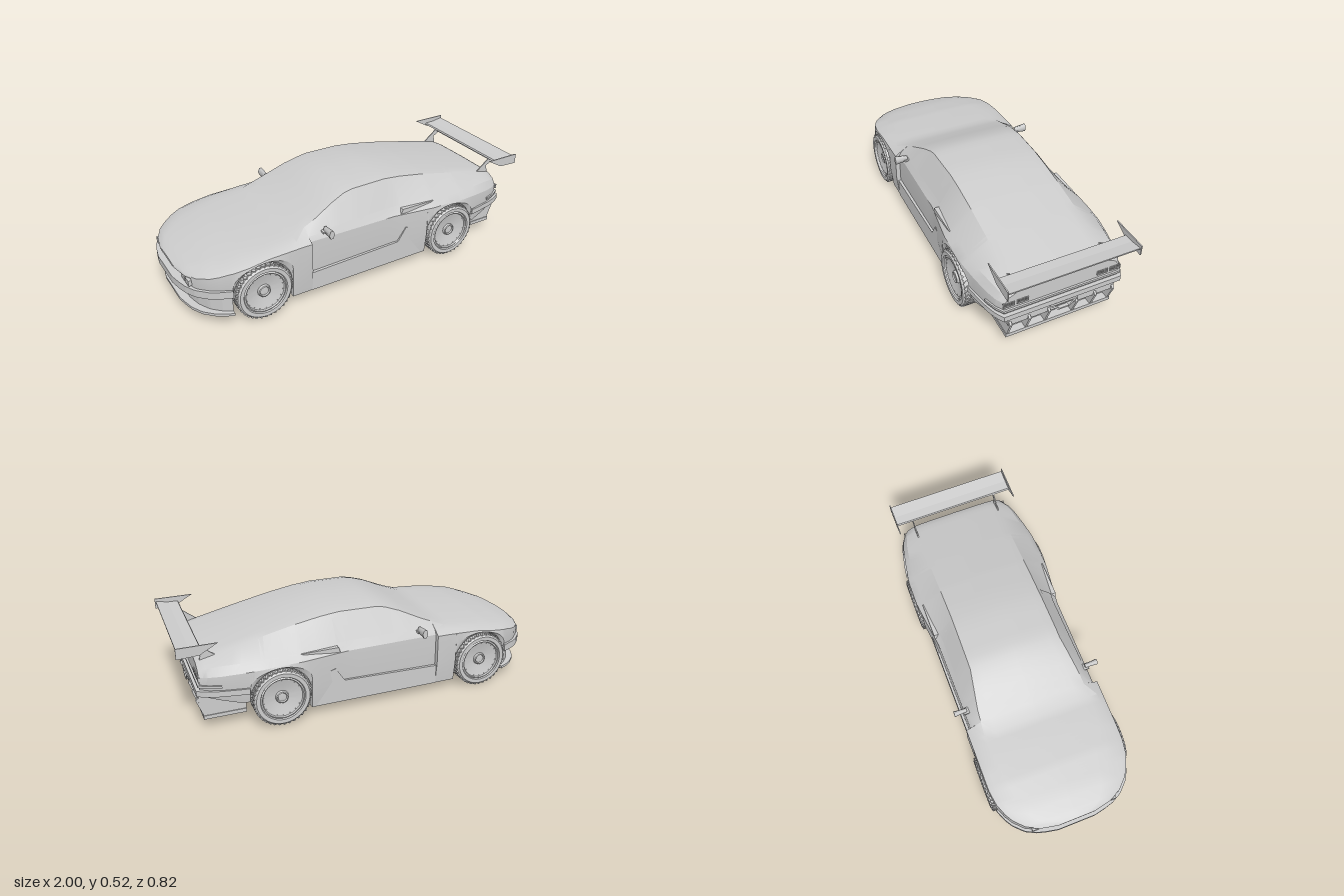
import * as THREE from 'three';
import { mergeGeometries, toCreasedNormals } from 'three/addons/utils/BufferGeometryUtils.js';

const grey = new THREE.MeshStandardMaterial({ color: 0xcccccc, side: THREE.DoubleSide });
const ARCH = { front: -0.63, rear: 0.51, y: 0.152, r: 0.158 };

// Profiles along the car's length (nose at -x), as [x, value] keys
const profile = keys => x => {
  if (x <= keys[0][0]) return keys[0][1];
  for (let i = 1; i < keys.length; i++) {
    const [x0, v0] = keys[i - 1], [x1, v1] = keys[i];
    if (x <= x1) return v0 + (v1 - v0) * (x - x0) / (x1 - x0);
  }
  return keys[keys.length - 1][1];
};
const topY = profile([[-0.985, 0.268], [-0.95, 0.285], [-0.85, 0.318], [-0.7, 0.347], [-0.55, 0.361], [-0.43, 0.37],
  [-0.3, 0.425], [-0.18, 0.483], [-0.1, 0.512], [-0.05, 0.521], [0.15, 0.523], [0.25, 0.512], [0.4, 0.485],
  [0.6, 0.44], [0.8, 0.392], [0.87, 0.375], [0.9, 0.358]]);
const halfW = profile([[-0.985, 0.1], [-0.965, 0.2], [-0.93, 0.27], [-0.88, 0.32], [-0.84, 0.345], [-0.78, 0.37],
  [-0.7, 0.382], [-0.36, 0.382], [-0.359, 0.358], [0.15, 0.36], [0.3, 0.38], [0.4, 0.392], [0.6, 0.39],
  [0.7, 0.375], [0.8, 0.355], [0.86, 0.335], [0.9, 0.31]]);
const edgeW = profile([[-0.985, 0.07], [-0.95, 0.17], [-0.88, 0.23], [-0.7, 0.28], [-0.43, 0.3], [-0.3, 0.288],
  [-0.1, 0.252], [0.2, 0.247], [0.87, 0.25], [0.9, 0.245]]);
const edgeDrop = profile([[-0.985, 0.003], [-0.8, 0.01], [-0.43, 0.008], [-0.1, 0.016], [0.2, 0.016], [0.9, 0.008]]);
const beltY = profile([[-0.985, 0.262], [-0.9, 0.285], [-0.8, 0.312], [-0.6, 0.343], [-0.43, 0.355], [-0.2, 0.363],
  [0.5, 0.362], [0.8, 0.35], [0.9, 0.33]]);
const beltFrac = profile([[-0.985, 0.9], [-0.36, 0.9], [-0.359, 0.95], [0.2, 0.92], [0.5, 0.9], [0.9, 0.92]]);
const shoulderY = profile([[-0.985, 0.259], [-0.9, 0.272], [-0.8, 0.298], [-0.6, 0.328], [-0.4, 0.335], [0.5, 0.328], [0.9, 0.3]]);

// Half section [z, y] from the floor centre to the roof centre
function halfSection(x, b) {
  const w = halfW(x), t = topY(x), d = edgeDrop(x), e = edgeW(x), s = shoulderY(x);
  return [[0, b], [w - 0.012, b], [w, b + (s - b) * 0.45], [w - 0.004, s],
    [w * beltFrac(x), beltY(x)], [e, t - d], [e * 0.8, t - d * 0.3], [0, t]];
}

function mesh(parent, name, geometry) {
  const m = new THREE.Mesh(geometry, grey);
  m.name = name;
  parent.add(m);
  return m;
}
const box = (x0, x1, y0, y1, z0, z1) =>
  new THREE.BoxGeometry(x1 - x0, y1 - y0, Math.abs(z1 - z0)).translate((x0 + x1) / 2, (y0 + y1) / 2, (z0 + z1) / 2);
// Side outline in x, y with thickness across z
const sidePlate = (pts, z, t) =>
  new THREE.ExtrudeGeometry(new THREE.Shape(pts.map(p => new THREE.Vector2(...p))), { depth: t, bevelEnabled: false })
    .translate(0, 0, z - t / 2);
// Slab that follows the body's plan outline between x0 and x1
function planSlab(x0, x1, y0, y1, shift, grow) {
  const side = [];
  for (let i = 0; i <= 16; i++) {
    const x = x0 + (x1 - x0) * i / 16;
    side.push(new THREE.Vector2(x, halfW(x - shift) + grow));
  }
  const shape = new THREE.Shape([...side, ...side.map(p => new THREE.Vector2(p.x, -p.y)).reverse()]);
  return new THREE.ExtrudeGeometry(shape, { depth: y1 - y0, bevelEnabled: false }).rotateX(-Math.PI / 2).translate(0, y0, 0);
}

// Closed shell lofted along x; its floor line rises over the wheel arches
function bodyShell() {
  const st = [[-0.985, 0.252], [-0.975, 0.252], [-0.965, 0.252], [-0.945, 0.252], [-0.945, 0.17],
    [-0.93, 0.17], [-0.88, 0.17], [-0.84, 0.17], [-0.8, 0.17]];
  const arch = cx => {
    for (let i = 0; i <= 20; i++) {
      const a = Math.PI * (1 - i / 20);
      st.push([cx + ARCH.r * Math.cos(a), ARCH.y + ARCH.r * Math.sin(a)]);
    }
  };
  arch(ARCH.front);
  for (const x of [ARCH.front + ARCH.r, -0.43, -0.36, -0.359, -0.3, -0.24, -0.18, -0.14, -0.1, -0.05, 0, 0.08, 0.15, 0.2,
    0.25, 0.3, ARCH.rear - ARCH.r]) st.push([x, 0.055]);
  arch(ARCH.rear);
  for (const x of [0.7, 0.75, 0.8, 0.83, 0.86, 0.88, 0.9]) st.push([x, 0.14 + (x - 0.67) * 0.26]);

  const pos = [], idx = [], n = 14;
  for (const [x, b] of st) {
    const half = halfSection(x, b);
    const ring = [...half, ...half.slice(1, -1).reverse().map(([z, y]) => [-z, y])];
    for (const [z, y] of ring) pos.push(x, y, z);
  }
  for (let i = 0; i < st.length - 1; i++) for (let j = 0; j < n; j++) {
    const a = i * n + j, d = i * n + (j + 1) % n;
    idx.push(a, a + n, d + n, a, d + n, d);
  }
  const last = (st.length - 1) * n;
  for (let j = 1; j < n - 1; j++) idx.push(0, j, j + 1, last, last + j + 1, last + j);
  const g = new THREE.BufferGeometry();
  g.setAttribute('position', new THREE.Float32BufferAttribute(pos, 3));
  g.setIndex(idx);
  return toCreasedNormals(g, 0.45);
}

// Side glass lying just outside the shell between belt and roof edge
function sideWindow(side) {
  const pos = [], idx = [], xs = [-0.23, -0.18, -0.14, -0.1, -0.05, 0, 0.08, 0.15, 0.2];
  xs.forEach((x, i) => {
    const h = halfSection(x, 0.055), p = h[4], q = h[5];
    for (const t of [0.08, 0.86]) {
      pos.push(x, p[1] + (q[1] - p[1]) * t + 0.001, side * (p[0] + (q[0] - p[0]) * t + 0.003));
    }
    if (i) { const a = 2 * i - 2; idx.push(...(side > 0 ? [a, a + 2, a + 3, a, a + 3, a + 1] : [a, a + 3, a + 2, a, a + 1, a + 3])); }
  });
  const g = new THREE.BufferGeometry();
  g.setAttribute('position', new THREE.Float32BufferAttribute(pos, 3));
  g.setIndex(idx);
  g.computeVertexNormals();
  return g;
}

function wheel(side) {
  const g = new THREE.Group();
  const lathe = pts => toCreasedNormals(
    new THREE.LatheGeometry(pts.map(p => new THREE.Vector2(...p)), 48).rotateX(side * Math.PI / 2), 0.6);
  mesh(g, 'tyre', lathe([[0.1, -0.05], [0.137, -0.055], [0.146, -0.047], [0.147, 0.046], [0.138, 0.056], [0.118, 0.055], [0.114, 0.048]]));
  mesh(g, 'rimDish', lathe([[0, -0.045], [0.1, -0.045], [0.114, 0.048], [0.107, 0.052], [0.103, 0.044], [0.06, 0.032],
    [0.034, 0.028], [0.031, 0.04], [0.026, 0.043], [0.022, 0.036], [0, 0.036]]));
  // Chevron tread blocks and rim bolts
  const blocks = [], bolts = [];
  for (let k = 0; k < 36; k++) {
    const a = k / 36 * Math.PI * 2;
    [-0.038, -0.013, 0.012, 0.037].forEach((h, i) =>
      blocks.push(new THREE.BoxGeometry(0.007, 0.013, 0.024).rotateX(i % 2 ? 0.6 : -0.6).translate(0.148, 0, h).rotateZ(a)));
    if (k % 2) bolts.push(new THREE.BoxGeometry(0.004, 0.004, 0.004).translate(0.098, 0, side * 0.043).rotateZ(a));
  }
  mesh(g, 'tread', mergeGeometries(blocks));
  mesh(g, 'rimBolts', mergeGeometries(bolts));
  return g;
}

export function createModel() {
  const car = new THREE.Group();
  car.name = 'car';
  mesh(car, 'bodyShell', bodyShell());

  // Nose: bumper lip, air dam and splitter
  mesh(car, 'frontBumper', planSlab(-1, -0.79, 0.17, 0.21, -0.015, 0.004));
  mesh(car, 'airDam', planSlab(-0.93, -0.787, 0.06, 0.17, 0.05, 0));
  mesh(car, 'splitter', planSlab(-0.975, -0.787, 0.058, 0.072, 0.01, 0.004));

  // Tail: bumper ridge, lip and diffuser
  mesh(car, 'rearBumper', planSlab(0.67, 0.92, 0.205, 0.235, 0.02, 0.006));
  mesh(car, 'tailLip', planSlab(0.8, 0.91, 0.25, 0.262, 0.01, 0.004));
  mesh(car, 'diffuserCore', box(0.672, 0.85, 0.06, 0.2, -0.285, 0.285));
  mesh(car, 'diffuserFloor', box(0.672, 0.89, 0.055, 0.075, -0.29, 0.29));
  mesh(car, 'diffuserBeam', box(0.8, 0.908, 0.155, 0.2, -0.29, 0.29));
  for (const z of [-0.28, -0.18, -0.075, 0.075, 0.18, 0.28]) {
    mesh(car, 'diffuserFin', sidePlate([[0.68, 0.06], [0.885, 0.065], [0.922, 0.165], [0.9, 0.19], [0.68, 0.19]], z, 0.012));
  }
  const exhaust = new THREE.Shape([[-0.075, 0.2], [-0.03, 0.16], [0.03, 0.16], [0.075, 0.2]].map(p => new THREE.Vector2(...p)));
  exhaust.holes.push(new THREE.Path([[-0.052, 0.194], [-0.026, 0.168], [0.026, 0.168], [0.052, 0.194]].map(p => new THREE.Vector2(...p))));
  mesh(car, 'exhaustSurround', new THREE.ExtrudeGeometry(exhaust, { depth: 0.025, bevelEnabled: false })
    .rotateY(Math.PI / 2).translate(0.9, 0, 0));

  // Rear wing
  const wing = new THREE.Group();
  wing.name = 'rearWing';
  car.add(wing);
  mesh(wing, 'wingBlade', sidePlate([[0.875, 0.45], [0.92, 0.447], [0.995, 0.463], [0.995, 0.47], [0.93, 0.459], [0.88, 0.458]], 0, 0.68));
  mesh(wing, 'wingRod', box(0.895, 0.903, 0.433, 0.441, -0.247, 0.247));

  for (const s of [1, -1]) {
    mesh(wing, 'endPlate', sidePlate([[0.8, 0.485], [0.89, 0.435], [1, 0.43], [1, 0.485]], s * 0.342, 0.006));
    mesh(wing, 'wingStrut', sidePlate([[0.8, 0.38], [0.88, 0.365], [0.87, 0.405], [0.95, 0.45], [0.89, 0.45]], s * 0.247, 0.006));

    for (const [x, z] of [[ARCH.front, 0.339], [ARCH.rear, 0.347]]) {
      const w = wheel(s);
      w.name = x < 0 ? 'frontWheel' : 'rearWheel';
      w.position.set(x, 0.152, s * z);
      car.add(w);
    }

    mesh(car, 'sideWindow', sideWindow(s));
    mesh(car, 'sideSkirt', sidePlate([[-0.36, 0.055], [0.353, 0.055], [0.353, 0.15], [0.3, 0.23], [0.22, 0.25], [0.17, 0.175],
      [-0.36, 0.16]], s * 0.355, 0.034));
    mesh(car, 'quarterIntake', sidePlate([[0.19, 0.335], [0.36, 0.342], [0.4, 0.36], [0.2, 0.362]], s * 0.345, 0.036));

    // Door mirror
    mesh(car, 'mirrorHousing', new THREE.CylinderGeometry(0.018, 0.026, 0.07, 6).scale(1, 1, 0.6)
      .rotateZ(Math.PI / 2).rotateY(-s * Math.PI / 2).translate(-0.265, 0.375, s * 0.375));
    mesh(car, 'mirrorArm', box(-0.285, -0.25, 0.36, 0.37, s * 0.32, s * 0.36));

    // Head lamps and slatted tail lamps
    for (const z of [0.16, 0.215]) mesh(car, 'headLamp', box(-0.962, -0.93, 0.216, 0.246, s * (z - 0.022), s * (z + 0.022)));
    const slats = [];
    for (const z0 of [0.185, 0.257]) {
      for (let i = 0; i < 7; i++) slats.push(box(0.895, 0.906, 0.282, 0.302, s * (z0 + i * 0.009), s * (z0 + i * 0.009 + 0.005)));
      slats.push(box(0.895, 0.906, 0.278, 0.283, s * z0, s * (z0 + 0.059)));
    }
    mesh(car, 'tailLamp', mergeGeometries(slats));
  }
  return car;
}
